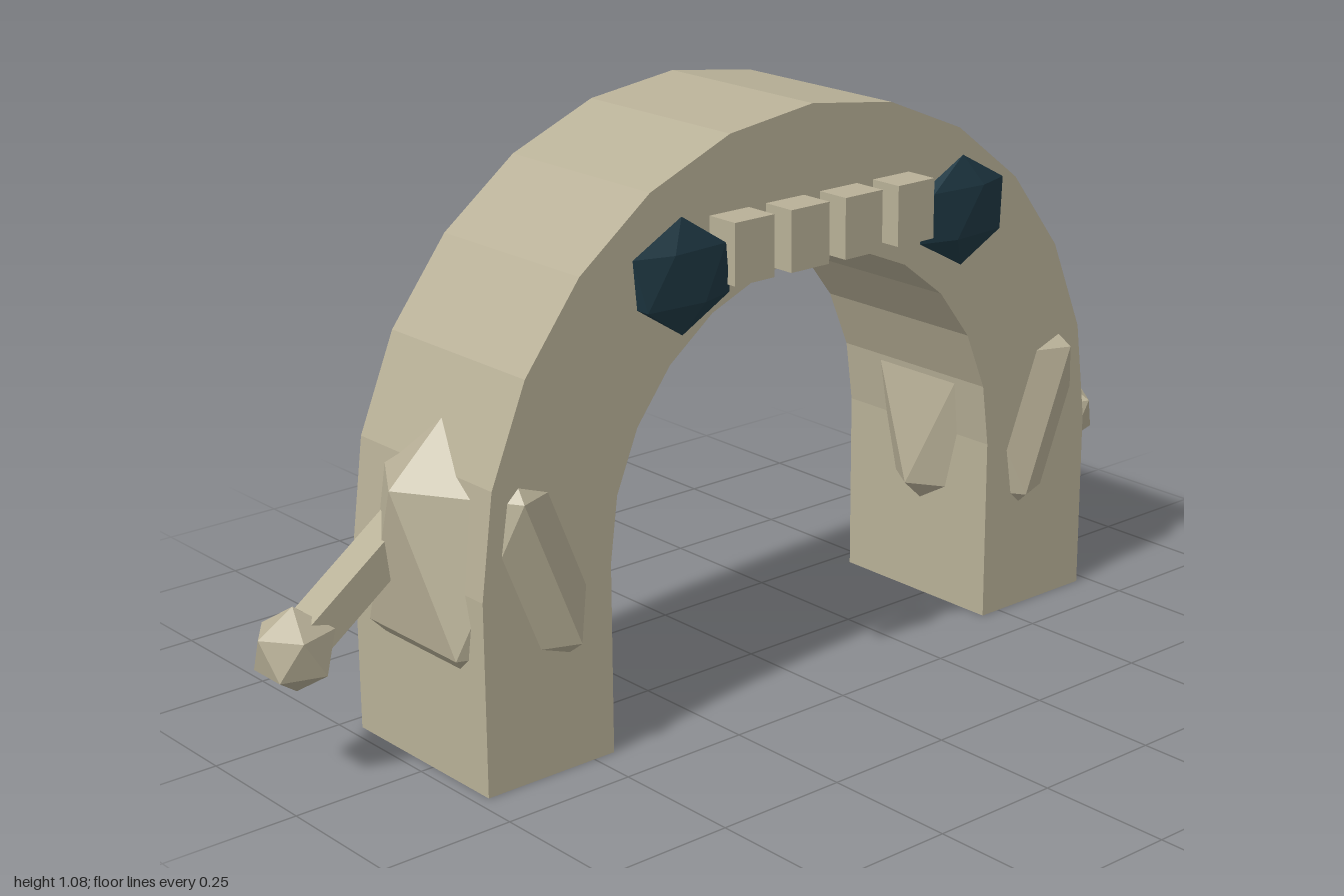
import * as THREE from 'three';

const stone = new THREE.MeshStandardMaterial({ color: 0xb8b097, flatShading: true });
stone.name = 'sandStone';
const dark = new THREE.MeshStandardMaterial({ color: 0x1e3742, flatShading: true });
dark.name = 'darkTeal';

export function createModel() {
  const model = new THREE.Group();

  function add(name, geometry, material, x, y, z) {
    const mesh = new THREE.Mesh(geometry, material);
    mesh.name = name;
    mesh.position.set(x, y, z);
    model.add(mesh);
    return mesh;
  }

  // Icosahedron standing on a pole, with an upper corner pointing outward
  function gem(side, rx, ry, rz) {
    const g = new THREE.IcosahedronGeometry(1, 0);
    g.rotateZ(-side * Math.atan(2 / (1 + Math.sqrt(5))));
    return g.scale(rx, ry, rz);
  }

  // Arch: straight legs under a half ring of 15 degree steps
  const outer = 0.725, inner = 0.457, spring = 0.35, steps = 12;
  const points = [new THREE.Vector2(outer, 0)];
  const arc = (r, i) => {
    const a = (i / steps) * Math.PI;
    points.push(new THREE.Vector2(r * Math.cos(a), spring + r * Math.sin(a)));
  };
  for (let i = 0; i <= steps; i++) arc(outer, i);
  points.push(new THREE.Vector2(-outer, 0), new THREE.Vector2(-inner, 0));
  for (let i = steps; i >= 0; i--) arc(inner, i);
  points.push(new THREE.Vector2(inner, 0));
  const archGeometry = new THREE.ExtrudeGeometry(new THREE.Shape(points), { depth: 0.373, bevelEnabled: false });
  add('arch', archGeometry, stone, 0, 0, -0.214);

  // Row of teeth above the opening
  for (const x of [-0.19, -0.063, 0.063, 0.19]) {
    add('tooth', new THREE.BoxGeometry(0.088, 0.11, 0.1), stone, x, 0.862, 0.174);
  }

  for (const side of [1, -1]) {
    const label = side > 0 ? 'left' : 'right';

    // Flattened eye gem
    add(label + 'Eye', gem(side, 0.117, 0.102, 0.027), dark, side * 0.33, 0.838, 0.2);

    // Large crystal poking out through the leg on all sides
    add(label + 'Crystal', gem(side, 0.204, 0.307, 0.238), stone, side * 0.5975, 0.3725, -0.018);

    // Sloping arm with a faceted knob
    const arm = add(label + 'Arm', new THREE.BoxGeometry(0.3, 0.064, 0.066), stone, side * 0.81, 0.336, -0.089);
    arm.rotation.z = -side * 0.63;
    add(label + 'Knob', gem(side, 0.077, 0.076, 0.075), stone, side * 0.931, 0.249, -0.089);
  }

  return model;
}
